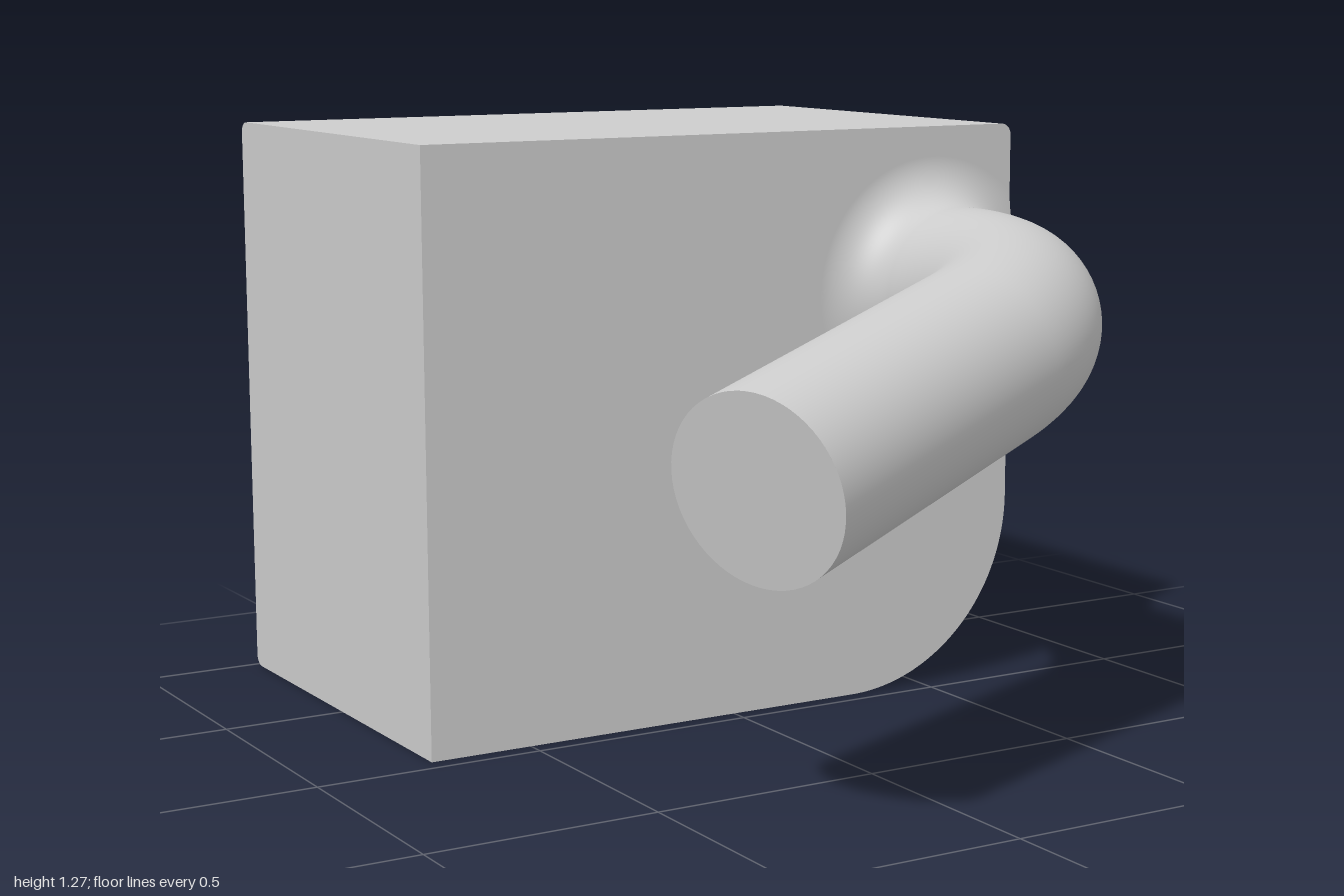
import * as THREE from 'three';
import { ParametricGeometry } from 'three/addons/geometries/ParametricGeometry.js';

const W = 0.73, H = 1.27, FRONT = -0.04, BACK = -1, EDGE = 0.025, CORNER = 0.42;
const CX = 0.52, CY = 0.905, R = 0.193, FILLET = 0.105;

// Block outline from top left, round the right side, to bottom left: [x, y, nx, ny]
function outline() {
  const pts = [[-W, H, 0, 1]];
  const arc = (cx, cy, r, from, to, n) => {
    for (let i = 0; i <= n; i++) {
      const a = from + (to - from) * i / n, c = Math.cos(a), s = Math.sin(a);
      pts.push([cx + r * c, cy + r * s, c, s]);
    }
  };
  arc(W - EDGE, H - EDGE, EDGE, Math.PI / 2, 0, 8);
  arc(W - CORNER, CORNER, CORNER, 0, -Math.PI / 2, 40);
  pts.push([-W, 0, 0, -1]);
  return pts;
}

// Block walls: the outline swept backwards and rolled over at the back edge
function wallGeometry(pts) {
  const rings = [[FRONT, 0]];
  for (let i = 0; i <= 8; i++) {
    const a = i / 8 * Math.PI / 2;
    rings.push([BACK + EDGE - EDGE * Math.sin(a), a]);
  }
  const pos = [], nor = [], idx = [], n = pts.length;
  rings.forEach(([z, a], k) => {
    const inset = EDGE * (1 - Math.cos(a));
    pts.forEach(([x, y, nx, ny], i) => {
      pos.push(x - nx * inset, y - ny * inset, z);
      nor.push(nx * Math.cos(a), ny * Math.cos(a), -Math.sin(a));
      if (k && i) {
        const p = (k - 1) * n + i - 1, q = k * n + i - 1;
        idx.push(p, p + 1, q, p + 1, q + 1, q);
      }
    });
  });
  const g = new THREE.BufferGeometry();
  g.setAttribute('position', new THREE.Float32BufferAttribute(pos, 3));
  g.setAttribute('normal', new THREE.Float32BufferAttribute(nor, 3));
  g.setIndex(idx);
  return g;
}

// Pipe centre line: straight stub, circular bend, straight arm
const ANGLE = Math.acos(0.376), BEND = 0.49, START = 0.08, STUB = 0.12, ARM = 0.77;
const side = new THREE.Vector2(-0.976, -0.217);
class PipePath extends THREE.Curve {
  getPoint(t, target = new THREE.Vector3()) {
    const arcLen = BEND * ANGLE;
    const s = t * (STUB + arcLen + ARM) - STUB;
    const a = Math.min(Math.max(s / BEND, 0), ANGLE);
    const rest = Math.max(s - arcLen, 0);
    const u = BEND * (1 - Math.cos(a)) + rest * Math.sin(ANGLE);
    const z = START + Math.min(s, 0) + BEND * Math.sin(a) + rest * Math.cos(ANGLE);
    return target.set(CX + side.x * u, CY + side.y * u, z);
  }
}

export function createModel() {
  const model = new THREE.Group();
  const grey = new THREE.MeshStandardMaterial({ color: 0xcccccc });
  grey.name = 'plain grey';
  const add = (name, geometry, parent) => {
    const mesh = new THREE.Mesh(geometry, grey);
    mesh.name = name;
    parent.add(mesh);
    return mesh;
  };

  // Block
  const block = new THREE.Group();
  block.name = 'block';
  model.add(block);
  const pts = outline();
  add('blockWalls', wallGeometry(pts), block);
  const face = (inset, flip) => new THREE.ShapeGeometry(new THREE.Shape(pts.map(([x, y, nx, ny]) =>
    new THREE.Vector2(flip * (x - nx * inset), y - ny * inset))));
  add('blockFront', face(0, 1), block).position.z = FRONT;
  const back = add('blockBack', face(EDGE, -1), block);
  back.rotation.y = Math.PI;
  back.position.z = BACK;

  // Flat end at -x with the rolled back corners
  const end = new THREE.Shape();
  end.moveTo(FRONT, 0);
  end.lineTo(FRONT, H);
  end.lineTo(BACK + EDGE, H);
  end.absarc(BACK + EDGE, H - EDGE, EDGE, Math.PI / 2, Math.PI, false);
  end.lineTo(BACK, EDGE);
  end.absarc(BACK + EDGE, EDGE, EDGE, Math.PI, Math.PI * 1.5, false);
  const endFace = add('blockEnd', new THREE.ShapeGeometry(end, 8), block);
  endFace.rotation.y = -Math.PI / 2;
  endFace.position.x = -W;

  // Bent pipe and its cut end
  const pipe = new THREE.Group();
  pipe.name = 'pipe';
  model.add(pipe);
  const path = new PipePath();
  add('pipeTube', new THREE.TubeGeometry(path, 96, R, 64, false), pipe);
  const cap = add('pipeEnd', new THREE.CircleGeometry(R, 64), pipe);
  cap.position.copy(path.getPoint(1));
  cap.lookAt(path.getPoint(1).add(path.getTangent(1)));

  // Fillet at the pipe root, trimmed flush with the block's side
  const reach = W - CX, outer = R + FILLET;
  const trim = (a) => {
    const c = Math.cos(a);
    const rho = c > 0 ? Math.min(outer, reach / c) : outer;
    return Math.acos(Math.max(0, (outer - rho) / FILLET));
  };
  const filletPoint = (phi, a, target) => {
    const rho = outer - FILLET * Math.cos(phi);
    return target.set(CX + rho * Math.cos(a), CY + rho * Math.sin(a), FRONT + FILLET * (1 - Math.sin(phi)));
  };
  add('rootFillet', new ParametricGeometry((u, v, target) => {
    const a = v * Math.PI * 2;
    filletPoint(u * trim(a), a, target);
  }, 16, 128), pipe);

  // Small flat wall closing the trimmed side of the fillet
  const limit = Math.acos(reach / outer);
  add('filletSide', new ParametricGeometry((u, v, target) => {
    const a = (v * 2 - 1) * limit;
    filletPoint(trim(a), a, target);
    target.z += (FRONT - target.z) * u;
  }, 1, 48), pipe);

  return model;
}
